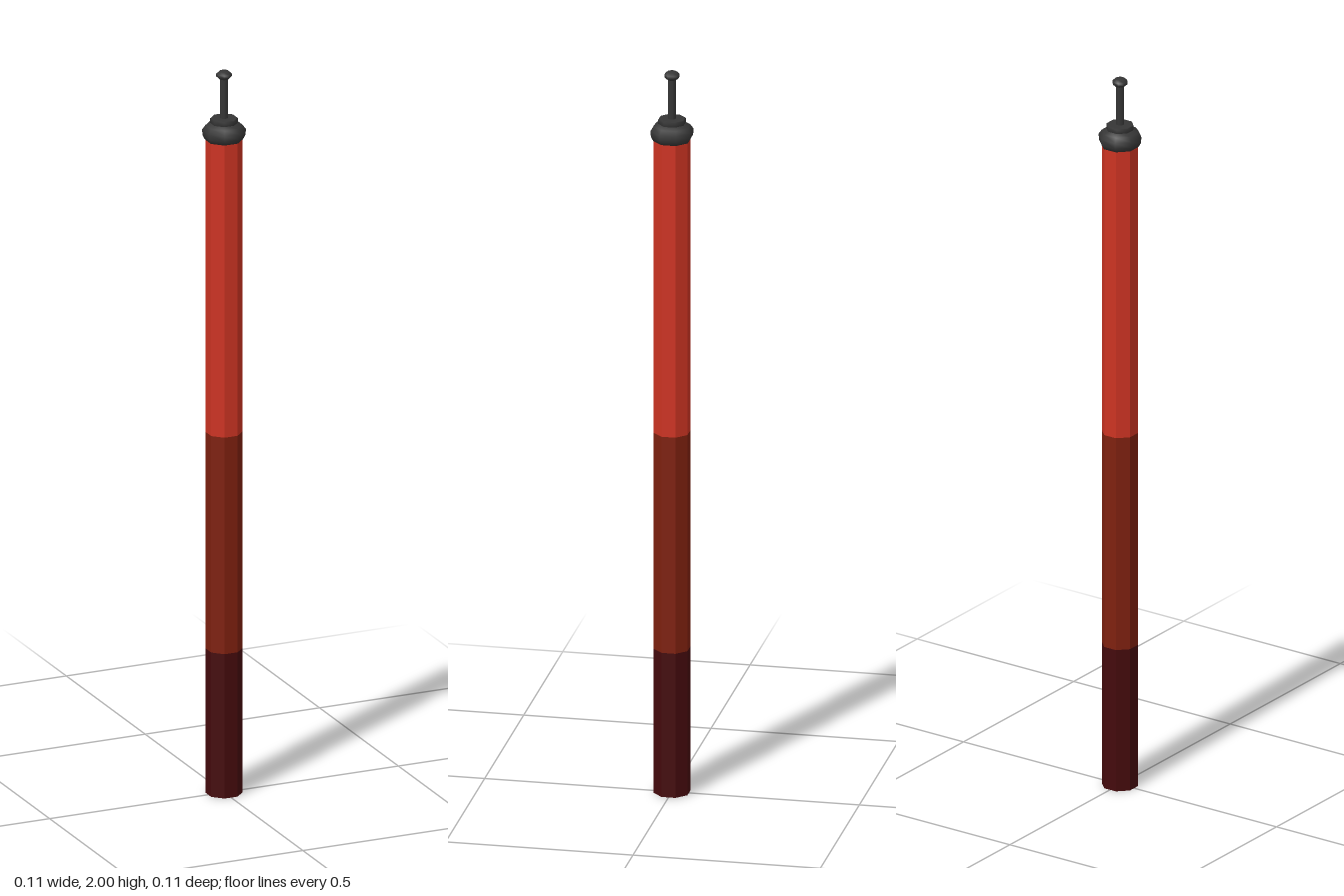
import * as THREE from 'three';

const SIDES = 8;
// Corner radius of an octagon whose flats lie at the given distance
const corner = (flat) => flat / Math.cos(Math.PI / SIDES);

const paint = (name, color, flatShading = false) => {
  const m = new THREE.MeshStandardMaterial({ color, flatShading });
  m.name = name;
  return m;
};

export function createModel() {
  const model = new THREE.Group();
  model.name = 'rod';

  const red = paint('bright red', 0xcc3322, true);
  const rust = paint('rust red', 0x7e200f, true);
  const maroon = paint('dark maroon', 0x440a0c, true);
  const black = paint('charcoal', 0x363636);

  const add = (name, geometry, material) => {
    const mesh = new THREE.Mesh(geometry, material);
    mesh.name = name;
    model.add(mesh);
  };

  // Octagonal shaft in three colour bands; only the ends are closed
  const band = (name, y0, y1, material) => {
    const r = corner(0.045);
    const g = new THREE.CylinderGeometry(r, r, y1 - y0, SIDES, 1, true, Math.PI / SIDES);
    add(name, g.translate(0, (y0 + y1) / 2, 0), material);
  };
  band('lowerShaft', 0, 0.4, maroon);
  band('middleShaft', 0.4, 1.0, rust);
  band('upperShaft', 1.0, 1.82, red);

  const base = new THREE.CircleGeometry(corner(0.045), SIDES, Math.PI / SIDES);
  add('shaftBase', base.rotateX(Math.PI / 2), maroon);

  // Turned end fittings, profiles given as [flat distance, height]
  const turned = (name, profile) => {
    const points = profile.map(([r, y]) => new THREE.Vector2(corner(r), y));
    add(name, new THREE.LatheGeometry(points, SIDES, Math.PI / SIDES), black);
  };
  turned('collar', [[0, 1.81], [0.046, 1.81], [0.052, 1.822], [0.053, 1.838],
    [0.045, 1.85], [0.03, 1.858]]);
  turned('collarRing', [[0.03, 1.852], [0.034, 1.857], [0.034, 1.868], [0.032, 1.87], [0, 1.87]]);
  turned('pin', [[0.01, 1.865], [0.01, 1.985]]);
  turned('pinHead', [[0, 1.976], [0.012, 1.978], [0.019, 1.985], [0.019, 1.992], [0.012, 1.999], [0, 2]]);

  return model;
}
